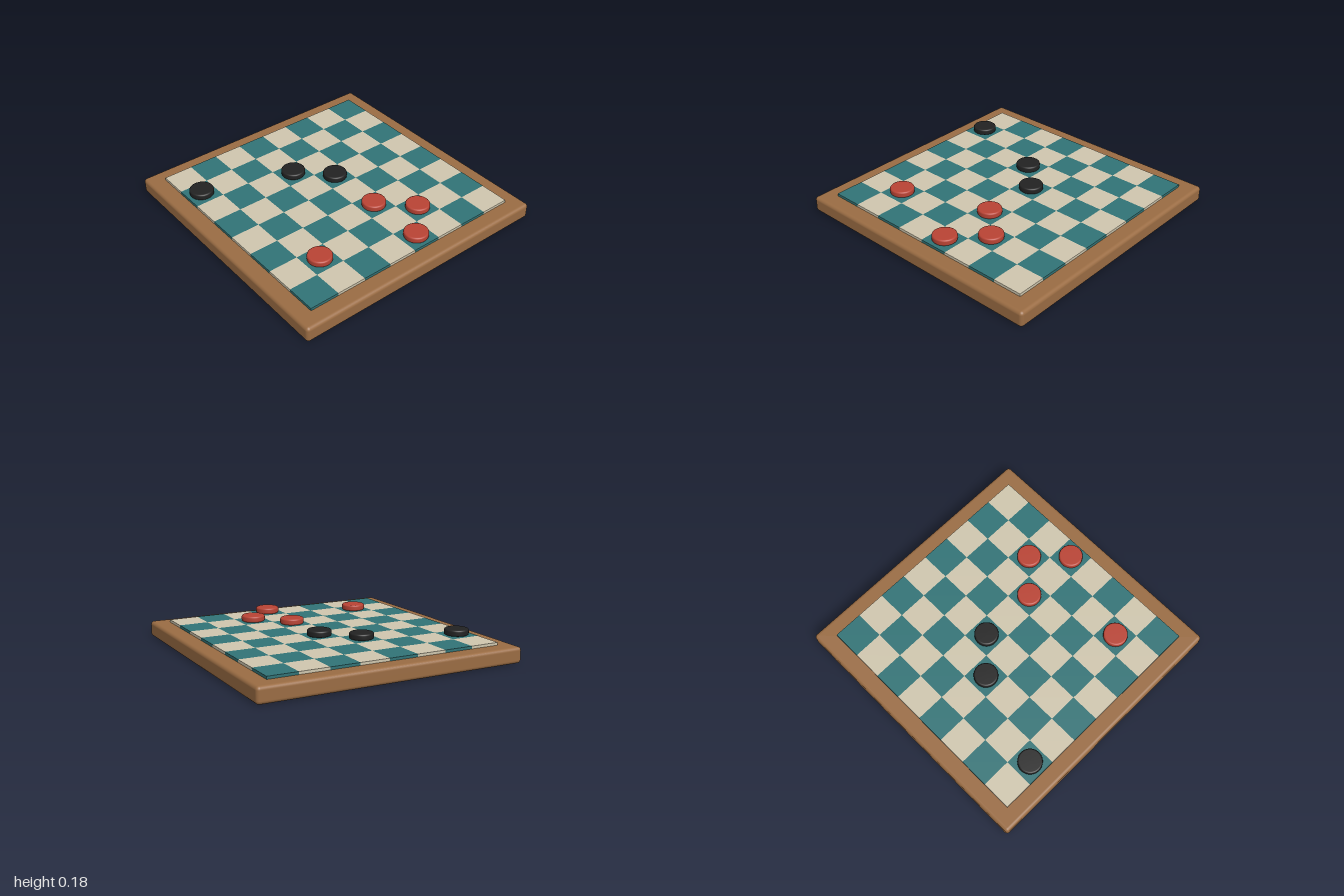
import * as THREE from 'three';
import { RoundedBoxGeometry } from 'three/addons/geometries/RoundedBoxGeometry.js';

const TILE = 0.22, BOARD_TOP = 0.117, TILE_TOP = 0.137, PIECE_H = 0.046, PIECE_R = 0.088;

const material = (name, color) => {
  const m = new THREE.MeshStandardMaterial({ color });
  m.name = name;
  return m;
};

// Centre of a square, counted from the back left corner of the top
const centre = (i) => (i - 3.5) * TILE;

// Disc with a rounded rim
function pieceGeometry() {
  const bevel = 0.012, points = [new THREE.Vector2(0, 0)];
  const arc = (cy, from) => {
    for (let k = 0; k <= 4; k++) {
      const a = from + (k / 4) * Math.PI / 2;
      points.push(new THREE.Vector2(PIECE_R - bevel + bevel * Math.cos(a), cy + bevel * Math.sin(a)));
    }
  };
  arc(bevel, -Math.PI / 2);
  arc(PIECE_H - bevel, 0);
  points.push(new THREE.Vector2(0, PIECE_H));
  return new THREE.LatheGeometry(points, 40);
}

export function createModel() {
  const model = new THREE.Group();
  model.name = 'checkersBoard';
  const wood = material('wood', 0x9a6c43);
  const cream = material('cream', 0xcfc6ae);
  const teal = material('teal', 0x317376);
  const red = material('red', 0xb94334);
  const black = material('black', 0x222222);

  const add = (name, geometry, mat, x, y, z) => {
    const mesh = new THREE.Mesh(geometry, mat);
    mesh.name = name;
    mesh.position.set(x, y, z);
    model.add(mesh);
  };

  // Wooden base
  add('base', new RoundedBoxGeometry(2, BOARD_TOP, 2, 4, 0.025), wood, 0, BOARD_TOP / 2, 0);

  // Eight by eight squares, slightly sunk into the base
  const sink = 0.005, h = TILE_TOP - BOARD_TOP + sink;
  const tile = new THREE.BoxGeometry(TILE, h, TILE);
  for (let row = 0; row < 8; row++) {
    for (let col = 0; col < 8; col++) {
      const dark = (row + col) % 2 === 1;
      add(dark ? 'darkSquare' : 'lightSquare', tile, dark ? teal : cream,
        centre(col), TILE_TOP - h / 2, centre(row));
    }
  }

  // Playing pieces as [column, row]
  const disc = pieceGeometry();
  const place = (name, mat, squares) => squares.forEach(([col, row]) =>
    add(name, disc, mat, centre(col), TILE_TOP, centre(row)));
  place('blackPiece', black, [[0, 1], [3, 2], [4, 3]]);
  place('redPiece', red, [[4, 5], [1, 6], [5, 6], [4, 7]]);

  return model;
}
